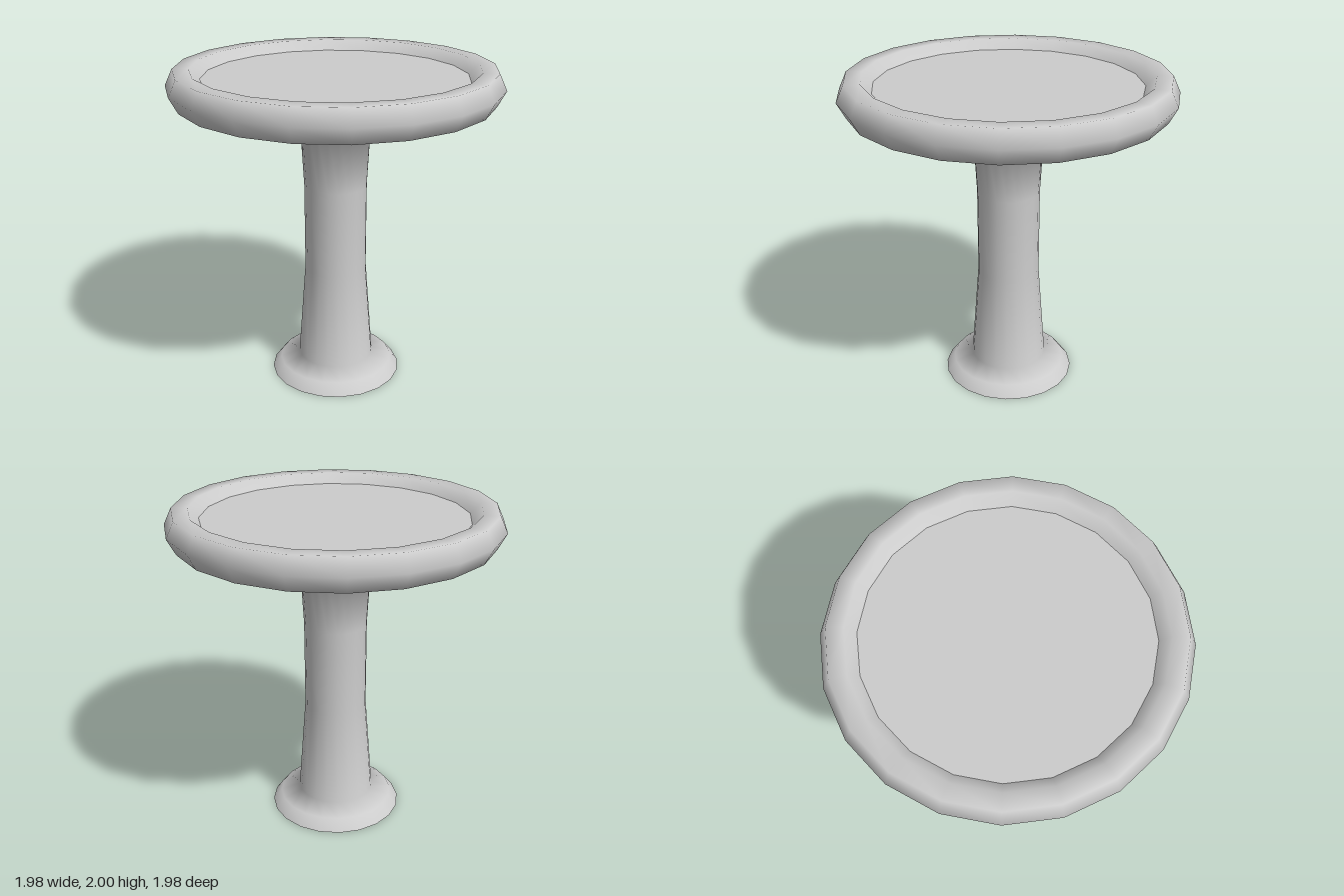
import * as THREE from 'three';

const SIDES = 20;
const material = new THREE.MeshStandardMaterial({ color: 0xcccccc });

export function createModel() {
  const group = new THREE.Group();
  group.name = 'birdBath';

  const add = (name, geometry) => {
    const mesh = new THREE.Mesh(geometry, material);
    mesh.name = name;
    group.add(mesh);
    return mesh;
  };

  // Foot, column, bowl underside and rounded rim as one smooth turned body
  const profile = [
    [0.415, 0], [0.36, 0.07], [0.24, 0.11],                  // foot
    [0.193, 0.73], [0.193, 1.27], [0.215, 1.685],            // column
    [0.76, 1.76], [0.94, 1.81],                              // bowl underside
    [0.99, 1.905], [0.945, 2], [0.85, 2], [0.79, 1.94],      // rim
  ].map(([r, y]) => new THREE.Vector2(r, y));
  add('pedestalAndBowl', new THREE.LatheGeometry(profile, SIDES));

  // Flat discs, turned so their corners meet the body's
  const disc = (name, radius, y, tilt) => {
    const geometry = new THREE.CircleGeometry(radius, SIDES).rotateX(tilt);
    add(name, geometry).position.y = y;
  };
  disc('basinFloor', 0.79, 1.94, -Math.PI / 2);
  disc('footUnderside', 0.415, 0, Math.PI / 2);

  return group;
}
